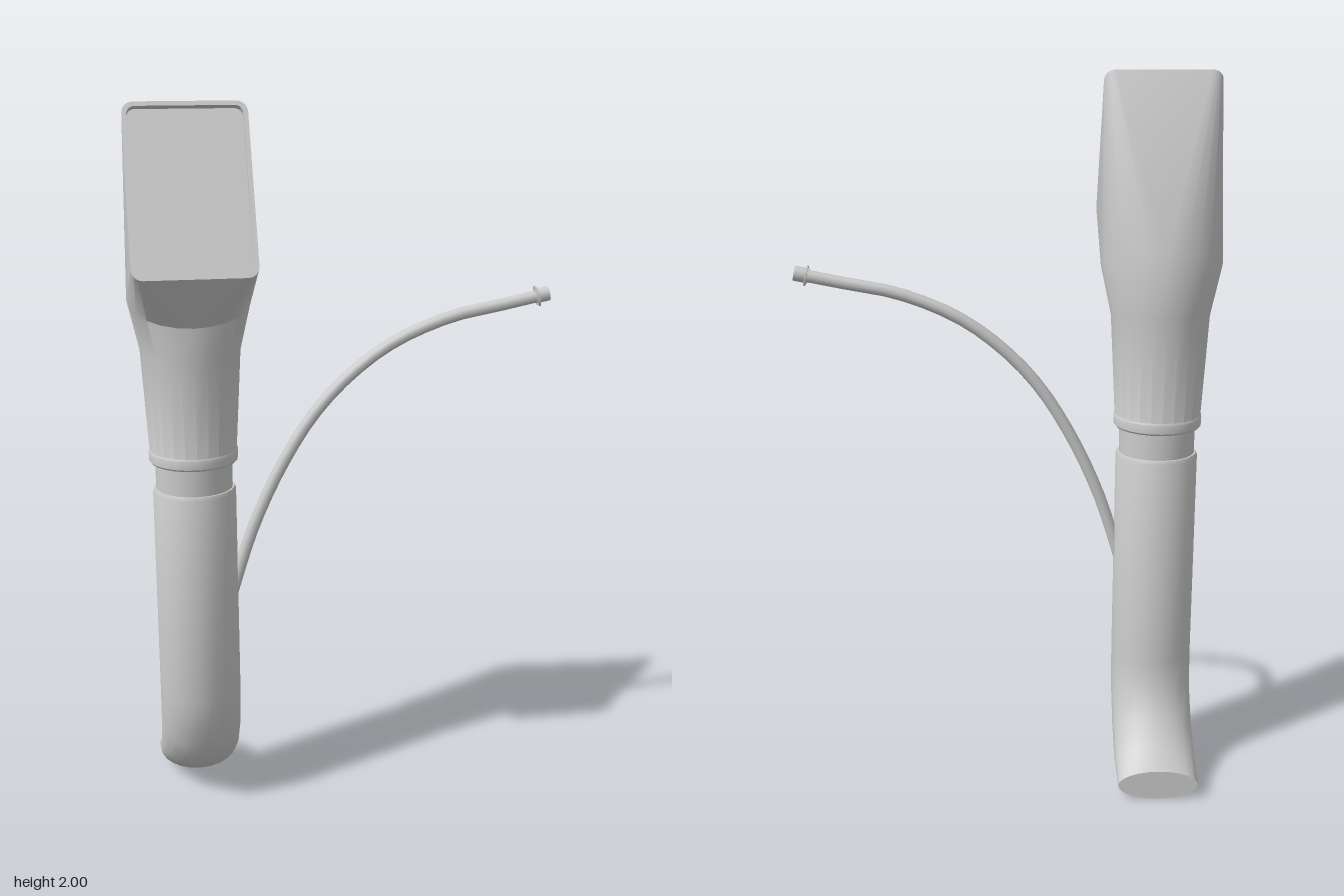
import * as THREE from 'three';
import { toCreasedNormals } from 'three/addons/utils/BufferGeometryUtils.js';

const X = -0.42; // centre line of the upright pipe
const STEPS = 7; // points per corner of a cross-section

// Rounded-rectangle section spanning front point [y, z] to back point [y, z].
// Without a corner radius it is an ellipse.
function ring(front, back, w, corner) {
  const [yf, zf] = front, [yb, zb] = back;
  const len = Math.hypot(yb - yf, zb - zf) / 2;
  const rx = corner ?? w, rl = corner ?? len;
  const pts = [];
  for (let c = 0; c < 4; c++) {
    const sx = c === 0 || c === 3 ? 1 : -1, sl = c < 2 ? 1 : -1;
    for (let k = 0; k < STEPS; k++) {
      const t = (c + k / (STEPS - 1)) * Math.PI / 2;
      const a = sx * (w - rx) + rx * Math.cos(t);
      const b = (sl * (len - rl) + rl * Math.sin(t)) / len;
      pts.push(new THREE.Vector3(X + a, (yf + yb) / 2 + b * (yb - yf) / 2, (zf + zb) / 2 + b * (zb - zf) / 2));
    }
  }
  return pts;
}

const round = (y, r, z = 0) => ring([y, z + r], [y, z - r], r);

// Skin over a list of sections, closed at both ends
function loft(rings, crease = 0.6) {
  const pos = [];
  const tri = (a, b, c) => {
    const n = b.clone().sub(a).cross(c.clone().sub(a));
    if (n.length() > 1e-9) for (const p of [a, b, c]) pos.push(p.x, p.y, p.z);
  };
  const n = rings[0].length;
  const middle = r => r.reduce((s, p) => s.add(p), new THREE.Vector3()).divideScalar(n);
  const first = rings[0], last = rings[rings.length - 1];
  const m0 = middle(first), m1 = middle(last);
  for (let j = 0; j < n; j++) {
    const k = (j + 1) % n;
    tri(m0, first[k], first[j]);
    tri(m1, last[j], last[k]);
    for (let i = 0; i < rings.length - 1; i++) {
      const lo = rings[i], hi = rings[i + 1];
      tri(lo[j], lo[k], hi[k]);
      tri(lo[j], hi[k], hi[j]);
    }
  }
  const g = new THREE.BufferGeometry();
  g.setAttribute('position', new THREE.Float32BufferAttribute(pos, 3));
  return toCreasedNormals(g, crease);
}

export function createModel() {
  const group = new THREE.Group();
  const material = new THREE.MeshStandardMaterial({ color: 0xcccccc });
  const add = (name, geometry, parent = group) => {
    const mesh = new THREE.Mesh(geometry, material);
    mesh.name = name;
    parent.add(mesh);
    return mesh;
  };

  // Lower pipe: flattened outlet at the back, bend, then straight up
  add('lowerPipe', loft([
    ring([0.005, -0.262], [0.09, -0.262], 0.113),
    ring([0.03, -0.11], [0.135, -0.215], 0.115),
    ring([0.1, 0], [0.2, -0.157], 0.115),
    ring([0.2, 0.085], [0.285, -0.122], 0.115),
    ring([0.35, 0.111], [0.36, -0.118], 0.115),
    round(0.95, 0.115, -0.003),
    round(0.96, 0.111, -0.003),
  ], 0.8));

  // Narrow collar joining pipe and head
  add('collar', loft([round(0.93, 0.106, -0.003), round(1.07, 0.106, -0.003)]));

  // Intake head: round neck flaring to a slanted rectangular mouth with a recessed plate
  const mouth = (inset, depth, corner) => {
    const ny = 0.447 * depth, nz = 0.894 * depth; // step back along the mouth normal
    return ring(
      [1.58 + 0.894 * inset - ny, 0.264 - 0.447 * inset - nz],
      [2 - 0.894 * inset - ny, 0.055 + 0.447 * inset - nz],
      0.16 - inset, corner);
  };
  add('intakeHead', loft([
    round(1.035, 0.118, -0.004),
    round(1.04, 0.122, -0.004),
    round(1.065, 0.123, -0.004),
    round(1.07, 0.12, -0.004),
    ring([1.34, 0.131], [1.36, -0.138], 0.136),
    ring([1.43, 0.135], [1.54, -0.145], 0.166),
    mouth(0, 0, 0.03),
    mouth(0.012, 0, 0.022),
    mouth(0.012, 0.02, 0.022),
  ]));

  // Thin curved hose rising from the side of the pipe
  const path = [[-0.33, 0.61], [-0.3, 0.71], [-0.255, 0.84], [-0.18, 1.0], [-0.085, 1.15],
    [0.02, 1.26], [0.14, 1.345], [0.3, 1.41], [0.43, 1.436], [0.55, 1.46]];
  const curve = new THREE.CatmullRomCurve3(path.map(([x, y]) => new THREE.Vector3(x, y, 0)));
  add('hose', new THREE.TubeGeometry(curve, 24, 0.017, 10));

  // Hose end fitting with a thin flange
  const fitting = new THREE.Group();
  fitting.name = 'hoseFitting';
  fitting.position.set(0.56, 1.463, 0);
  fitting.rotation.z = -Math.PI / 2 + 0.2;
  group.add(fitting);
  add('fittingCap', new THREE.CylinderGeometry(0.021, 0.021, 0.038, 12), fitting);
  add('fittingFlange', new THREE.CylinderGeometry(0.03, 0.03, 0.005, 6), fitting).position.y = -0.014;

  return group;
}
